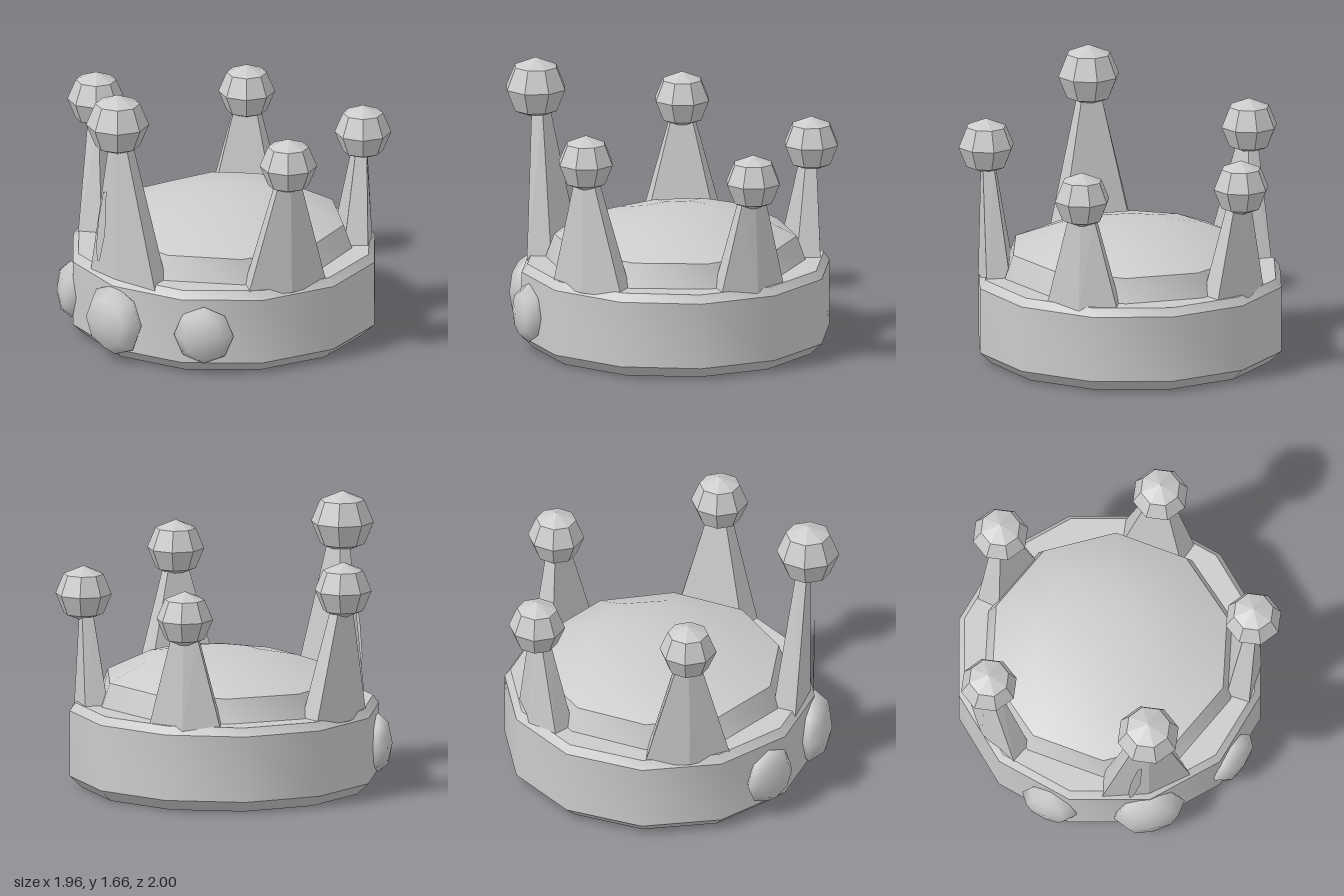
import * as THREE from 'three';
import { toCreasedNormals } from 'three/addons/utils/BufferGeometryUtils.js';
import { ConvexGeometry } from 'three/addons/geometries/ConvexGeometry.js';

const CENTER_Z = -0.075;
const smooth = new THREE.MeshStandardMaterial({ color: 0xcccccc });
const flat = new THREE.MeshStandardMaterial({ color: 0xcccccc, flatShading: true });
const twoSided = new THREE.MeshStandardMaterial({ color: 0xcccccc, side: THREE.DoubleSide });

function addMesh(parent, name, geometry, material) {
  const mesh = new THREE.Mesh(geometry, material);
  mesh.name = name;
  parent.add(mesh);
  return mesh;
}

function lathe(profile, sides, start = 0) {
  const points = profile.map(([r, y]) => new THREE.Vector2(r, y));
  return new THREE.LatheGeometry(points, sides, start);
}

// Tapered prong with a slightly ridged outer face; +z points away from the crown
function prongGeometry({ baseHalf, topHalf, top, baseOut, topOut }) {
  const section = (y, half, out, thick, ridge) => [
    [0, out], [half, out - ridge], [-half, out - ridge],
    [half * 0.85, out - thick], [-half * 0.85, out - thick],
  ].map(([x, z]) => new THREE.Vector3(x, y, z));
  return new ConvexGeometry([
    ...section(0.48, baseHalf, baseOut, 0.2, 0.06),
    ...section(top, topHalf, topOut, 0.08, 0.015),
  ]);
}

export function createModel() {
  const crown = new THREE.Group();
  crown.name = 'crown';

  // Twelve-sided band with chamfered edges
  const bandShape = lathe([[0, 0], [0.85, 0], [0.925, 0.07], [0.925, 0.465], [0.89, 0.513], [0.7, 0.513]], 12);
  addMesh(crown, 'band', toCreasedNormals(bandShape, 0.6), smooth).position.z = CENTER_Z;

  // Ten-sided cushion, tipped up a little towards the back
  const cushion = lathe([[0.775, 0.5], [0.72, 0.655], [0.46, 0.768], [0.22, 0.808], [0, 0.818]], 10, Math.PI / 10);
  const p = cushion.attributes.position;
  for (let i = 0; i < p.count; i++) {
    if (p.getY(i) > 0.7) p.setY(i, p.getY(i) - p.getZ(i) * 0.045);
  }
  addMesh(crown, 'cushion', toCreasedNormals(cushion, 0.65), smooth).position.z = CENTER_Z;

  // Five prongs, each tipped with a ball
  const front = { baseHalf: 0.27, topHalf: 0.07, top: 1.36, baseOut: 0.9, topOut: 0.9, ballY: 1.475, ballOut: 0.885, ballR: 0.187 };
  const side = { baseHalf: 0.26, topHalf: 0.072, top: 1.16, baseOut: 0.9, topOut: 0.885, ballY: 1.265, ballOut: 0.853, ballR: 0.17 };
  const back = { baseHalf: 0.225, topHalf: 0.08, top: 1.05, baseOut: 0.89, topOut: 0.86, ballY: 1.155, ballOut: 0.834, ballR: 0.168 };
  [['front', front], ['left', side], ['backLeft', back], ['backRight', back], ['right', side]].forEach(([place, spec], i) => {
    const angle = i * Math.PI * 2 / 5;
    const prong = addMesh(crown, place + 'Prong', prongGeometry(spec), flat);
    prong.position.z = CENTER_Z;
    prong.rotation.y = angle;
    const ball = addMesh(crown, place + 'Ball', new THREE.SphereGeometry(spec.ballR, 8, 4), flat);
    ball.position.set(Math.sin(angle) * spec.ballOut, spec.ballY, CENTER_Z + Math.cos(angle) * spec.ballOut);
  });

  // Octagonal domed gems set into the band
  const gemShape = new THREE.SphereGeometry(1, 8, 4).rotateX(Math.PI / 2);
  [
    ['frontGem', 0, 0.835, 0, 0.218, 0.12, 0.25],
    ['leftGem', 0.56, 0.645, 0.68, 0.178, 0.085, 0.248],
    ['rightGem', -0.56, 0.645, -0.68, 0.178, 0.085, 0.248],
  ].forEach(([name, x, z, turn, radius, depth, y]) => {
    const gem = addMesh(crown, name, gemShape, smooth);
    gem.position.set(x, y, z);
    gem.rotation.y = turn;
    gem.scale.set(radius, radius, depth);
  });

  // Thin glint floating just in front of the front prong
  const glint = new THREE.Shape([
    [-0.125, 0.59], [-0.105, 0.6], [-0.06, 0.78], [-0.048, 1.05], [-0.075, 1.04], [-0.115, 0.86], [-0.135, 0.68],
  ].map(([x, y]) => new THREE.Vector2(x, y)));
  addMesh(crown, 'glint', new THREE.ShapeGeometry(glint), twoSided).position.z = 0.855;

  return crown;
}
